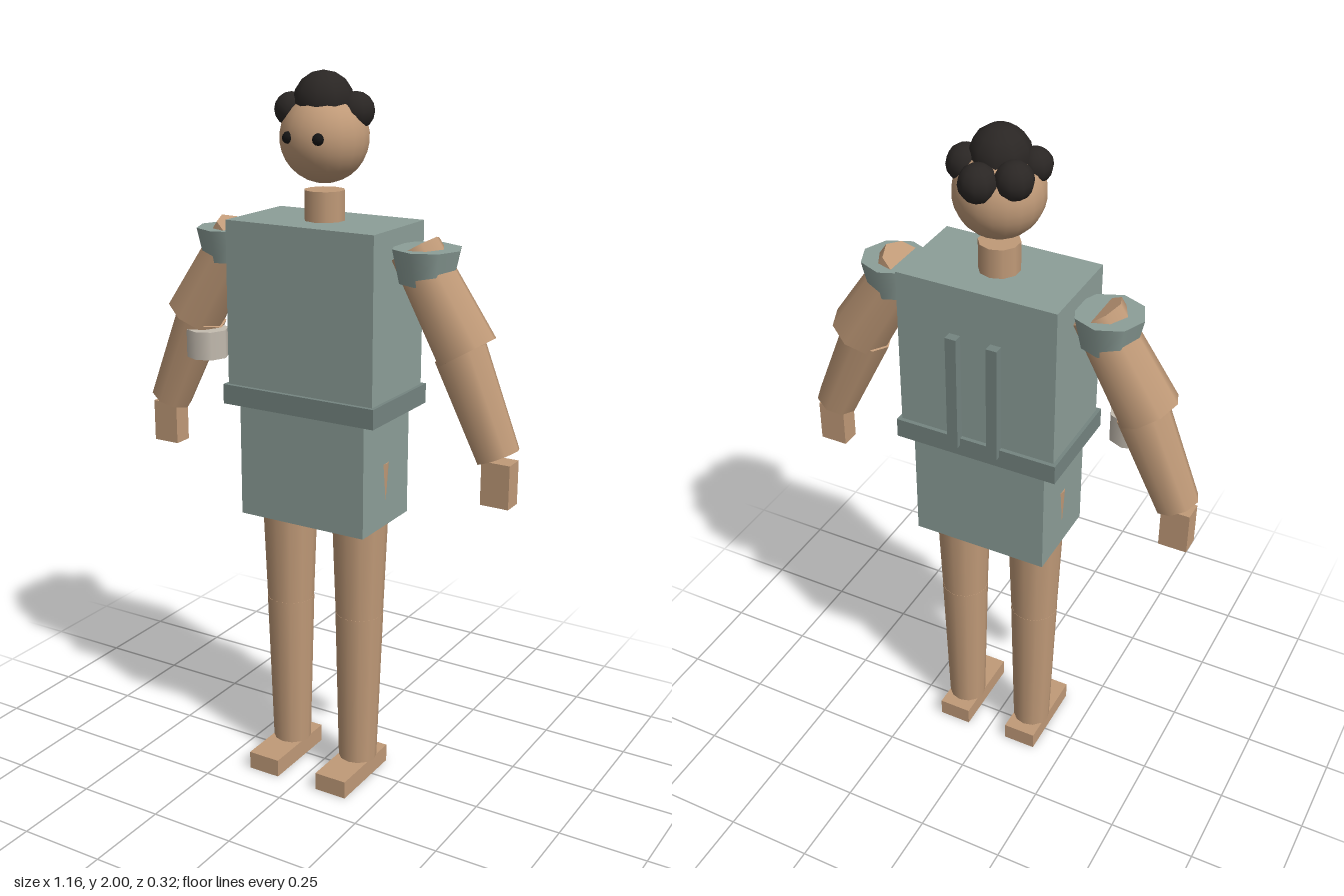
import * as THREE from 'three';

export function createModel() {
  const model = new THREE.Group();
  model.name = 'figure';
  const mat = (color) => new THREE.MeshStandardMaterial({ color });
  const skin = mat(0xc09a78), cloth = mat(0x8c9e98), trim = mat(0x748480);
  const dark = mat(0x2a2624), eyeMat = mat(0x141414), metal = mat(0xc4bcb0);

  const add = (name, geometry, material, x, y, z) => {
    const mesh = new THREE.Mesh(geometry, material);
    mesh.name = name;
    mesh.position.set(x, y, z);
    model.add(mesh);
    return mesh;
  };
  const box = (name, material, w, h, d, x, y, z) =>
    add(name, new THREE.BoxGeometry(w, h, d), material, x, y, z);
  const ball = (name, material, r, x, y, z, sides = 10) =>
    add(name, new THREE.SphereGeometry(r, sides, Math.round(sides * 0.75)), material, x, y, z);

  // Tapered limb between two points in the x-y plane
  const limb = (name, top, bottom, rTop, rBottom, sides) => {
    const [x1, y1] = top, [x2, y2] = bottom;
    const length = Math.hypot(x1 - x2, y1 - y2);
    const mesh = add(name, new THREE.CylinderGeometry(rTop, rBottom, length, sides), skin,
      (x1 + x2) / 2, (y1 + y2) / 2, 0);
    mesh.rotation.z = Math.atan2(x2 - x1, y1 - y2);
  };

  // Body and clothing
  box('torso', cloth, 0.45, 0.45, 0.27, 0, 1.39, 0);
  box('belt', trim, 0.47, 0.055, 0.294, 0, 1.138, 0);
  box('skirt', cloth, 0.39, 0.32, 0.25, 0, 0.95, 0);

  // Head
  add('neck', new THREE.CylinderGeometry(0.055, 0.055, 0.1, 10), skin, 0, 1.645, 0);
  ball('head', skin, 0.118, 0, 1.83, 0, 20);

  // Hair clumps: radius, x, y, z
  [
    [0.08, 0, 1.92, 0.005],
    [0.05, 0.077, 1.898, -0.027],
    [0.045, -0.079, 1.9, 0.035],
    [0.05, 0.01, 1.888, -0.094],
    [0.05, -0.067, 1.895, -0.055],
  ].forEach(([r, x, y, z]) => ball('hairClump', dark, r, x, y, z));

  // Paired parts
  for (const [side, s] of [['left', 1], ['right', -1]]) {
    ball(side + 'Eye', eyeMat, 0.016, s * 0.045, 1.836, 0.106, 8);
    box(side + 'BackStrap', trim, 0.031, 0.335, 0.045, s * 0.058, 1.31, -0.138);

    add(side + 'ShoulderCap', new THREE.CylinderGeometry(0.093, 0.073, 0.09, 8), cloth,
      s * 0.305, 1.525, 0);
    limb(side + 'UpperArm', [s * 0.272, 1.564], [s * 0.428, 1.312], 0.07, 0.085, 8);
    limb(side + 'Forearm', [s * 0.408, 1.31], [s * 0.525, 1.048], 0.073, 0.06, 8);
    box(side + 'Hand', skin, 0.08, 0.12, 0.056, s * 0.53, 0.977, 0);

    limb(side + 'Thigh', [s * 0.115, 0.97], [s * 0.115, 0.5], 0.084, 0.067, 12);
    limb(side + 'Shin', [s * 0.115, 0.51], [s * 0.113, 0.05], 0.068, 0.055, 12);
    box(side + 'Foot', skin, 0.097, 0.052, 0.245, s * 0.113, 0.026, 0.035);
  }

  // Cuff beside the right forearm
  add('armCuff', new THREE.CylinderGeometry(0.06, 0.06, 0.08, 8), metal, -0.372, 1.24, 0.025);

  return model;
}
